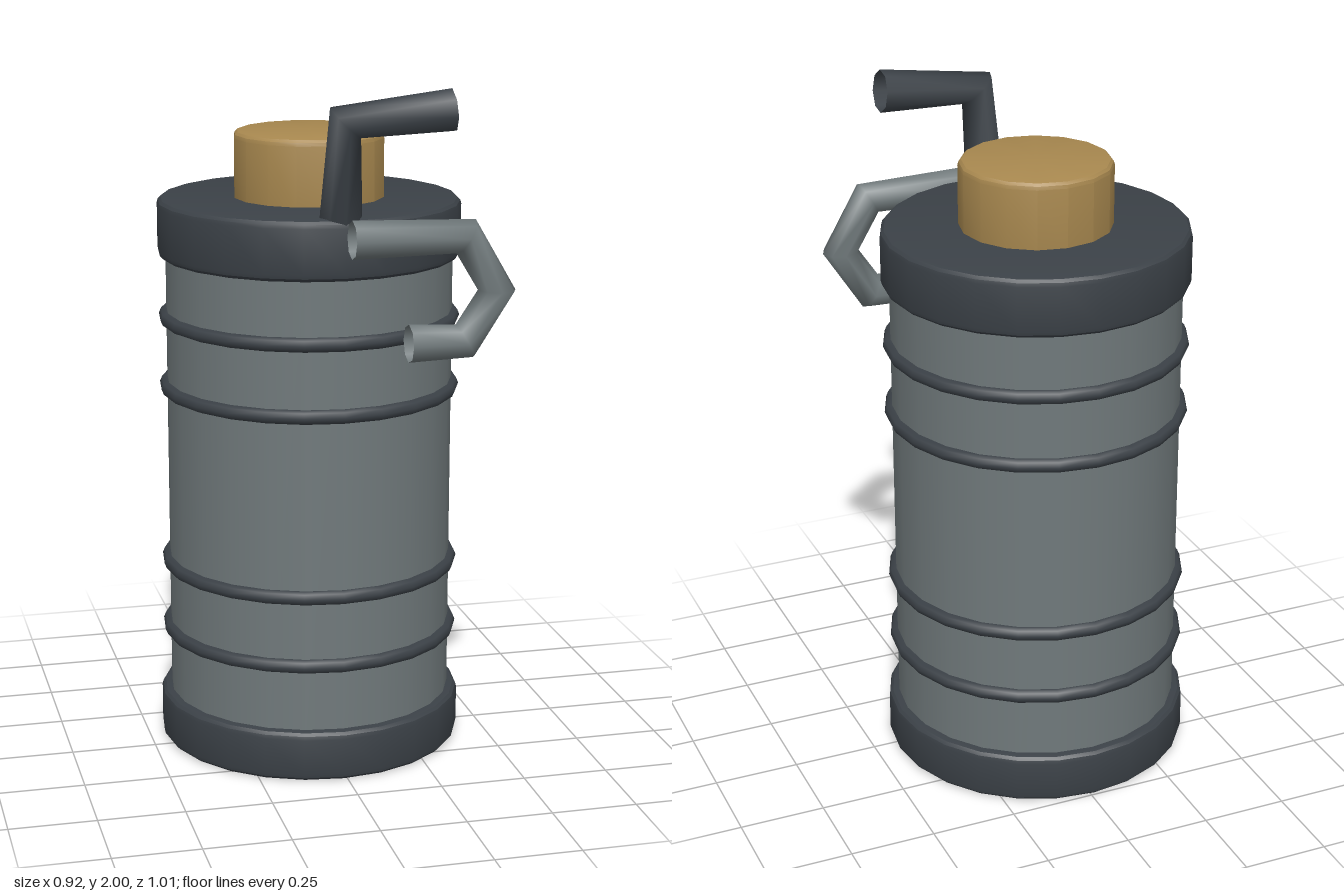
import * as THREE from 'three';
import { toCreasedNormals } from 'three/addons/utils/BufferGeometryUtils.js';

const flat = (name, color, side = THREE.FrontSide) => {
  const m = new THREE.MeshStandardMaterial({ color, side });
  m.name = name;
  return m;
};

// Path with sharp corners: one ring per point, set along the bisector
class CornerPath extends THREE.Curve {
  constructor(points) {
    super();
    this.points = points.map((p) => new THREE.Vector3(...p));
  }
  index(u) {
    return Math.round(u * (this.points.length - 1));
  }
  getPoint(u, target = new THREE.Vector3()) {
    return target.copy(this.points[this.index(u)]);
  }
  getPointAt(u, target) {
    return this.getPoint(u, target);
  }
  getTangentAt(u, target = new THREE.Vector3()) {
    const i = this.index(u), p = this.points;
    target.set(0, 0, 0);
    if (i > 0) target.add(p[i].clone().sub(p[i - 1]).normalize());
    if (i < p.length - 1) target.add(p[i + 1].clone().sub(p[i]).normalize());
    return target.normalize();
  }
}

// Solid disc with rounded rims
function roundedDisc(radius, y0, y1, bevel, sides) {
  const pts = [new THREE.Vector2(0, y0)];
  for (const [y, start] of [[y0 + bevel, -Math.PI / 2], [y1 - bevel, 0]]) {
    for (let i = 0; i <= 3; i++) {
      const a = start + (i / 3) * Math.PI / 2;
      pts.push(new THREE.Vector2(radius - bevel + bevel * Math.cos(a), y + bevel * Math.sin(a)));
    }
  }
  pts.push(new THREE.Vector2(0, y1));
  return toCreasedNormals(new THREE.LatheGeometry(pts, sides), 0.45);
}

export function createModel() {
  const group = new THREE.Group();
  const steel = flat('grey steel', 0x70797b);
  const dark = flat('dark metal', 0x3b4147);
  const brass = flat('brass', 0xa8884f);
  const darkTube = flat('dark tube', 0x3b4147, THREE.DoubleSide);
  const steelTube = flat('steel tube', 0x70797b, THREE.DoubleSide);

  const add = (name, geometry, material, parent = group) => {
    const mesh = new THREE.Mesh(geometry, material);
    mesh.name = name;
    parent.add(mesh);
    return mesh;
  };

  // Canister, slightly behind and right of the centre
  const canister = new THREE.Group();
  canister.name = 'canister';
  canister.position.set(-0.011, 0, -0.055);
  group.add(canister);
  const body = add('body', new THREE.CylinderGeometry(0.42, 0.42, 1.4, 24, 1, true), steel, canister);
  body.position.y = 0.8;
  add('base', roundedDisc(0.45, 0, 0.15, 0.022, 24), dark, canister);
  add('cap', roundedDisc(0.443, 1.47, 1.643, 0.022, 24), dark, canister);
  add('fusePlug', roundedDisc(0.22, 1.6, 1.835, 0.02, 16), brass, canister);

  // Bands round the body
  for (const y of [0.345, 0.552, 1.085, 1.292]) {
    const band = add('band', new THREE.TorusGeometry(0.421, 0.021, 8, 24), dark, canister);
    band.rotation.x = Math.PI / 2;
    band.position.y = y;
  }

  // Bent lever on the cap
  const lever = new CornerPath([[-0.01, 1.62, 0.32], [-0.015, 1.912, 0.392], [0.285, 1.938, 0.392]]);
  add('lever', new THREE.TubeGeometry(lever, 2, 0.062, 8), darkTube);

  // Hooked pull handle in front of the cap
  const hook = new CornerPath([
    [-0.01, 1.6, 0.45], [0.312, 1.598, 0.45], [0.403, 1.444, 0.45], [0.312, 1.304, 0.45], [0.152, 1.304, 0.45],
  ]);
  add('hookHandle', new THREE.TubeGeometry(hook, 4, 0.054, 8), steelTube);

  return group;
}
